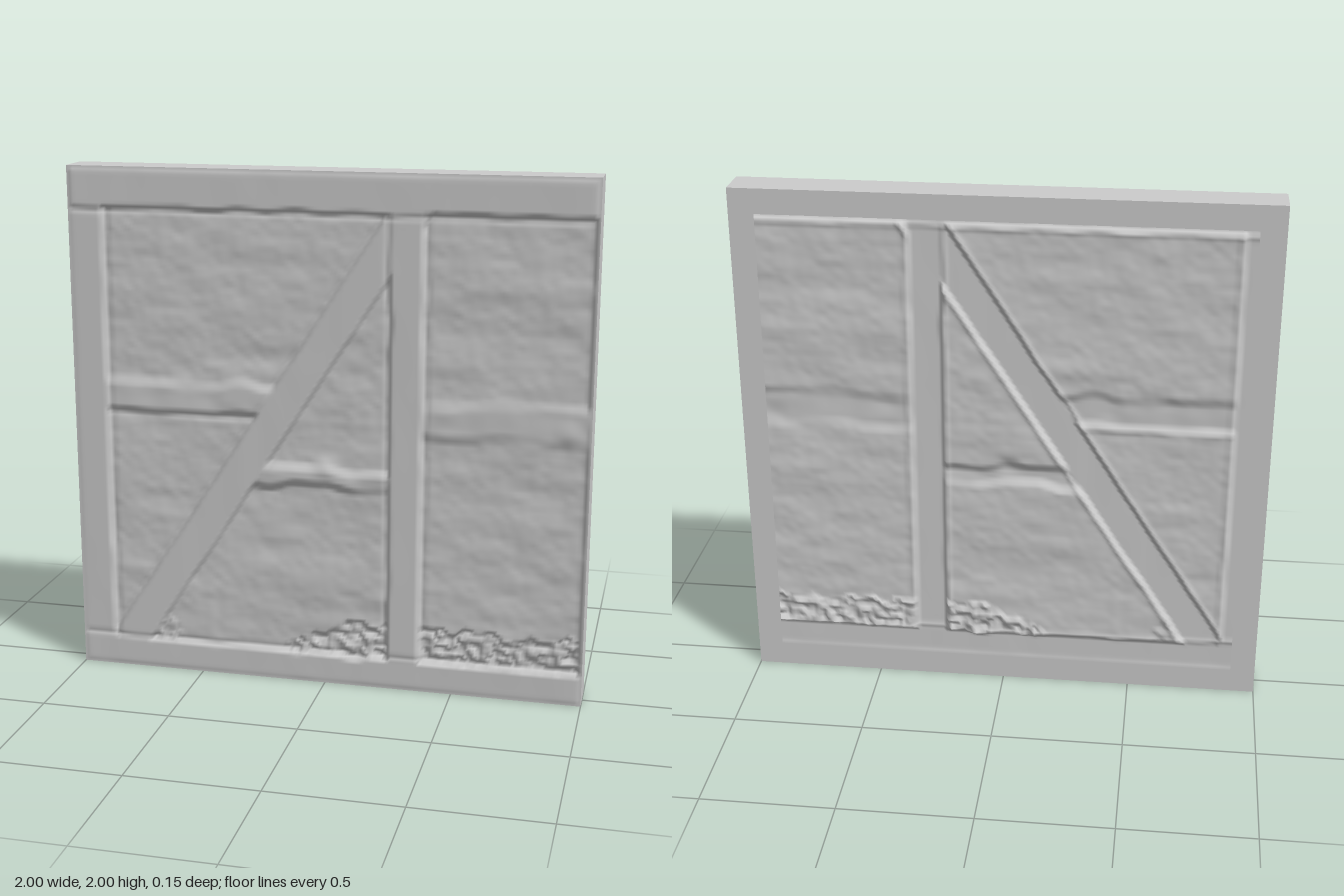
import * as THREE from 'three';

const BACK = -0.085, EDGE = 0.062, STEP = 0.0125;
const material = new THREE.MeshStandardMaterial({ color: 0xcccccc, side: THREE.DoubleSide });

// Smooth seeded noise, roughly -1..1
const hash = (i, j) => {
  const s = Math.sin(i * 127.1 + j * 311.7) * 43758.5453;
  return (s - Math.floor(s)) * 2 - 1;
};
function noise(x, y) {
  const i = Math.floor(x), j = Math.floor(y);
  const u = THREE.MathUtils.smoothstep(x - i, 0, 1), v = THREE.MathUtils.smoothstep(y - j, 0, 1);
  const a = THREE.MathUtils.lerp(hash(i, j), hash(i + 1, j), u);
  const b = THREE.MathUtils.lerp(hash(i, j + 1), hash(i + 1, j + 1), u);
  return THREE.MathUtils.lerp(a, b, v);
}

// 1 inside a distance, 0 outside, with a soft edge
const inside = (d, soft = 0.014) => THREE.MathUtils.smoothstep(d, -soft, soft);
const band = (v, a, b, soft) => inside(v - a, soft) * inside(b - v, soft);
const across = (x, y) => -0.842 * x + 0.54 * y - 0.735; // distance from the brace's centre line

// Height of the weathered wall face
function height(x, y) {
  const wobble = 0.007 * noise(x * 9, y * 9);
  // plaster: broad waves, sideways trowel strokes and fine grain
  let z = 0.049 + 0.004 * noise(x * 4, y * 7 + 3) + 0.0028 * noise(x * 9 + 5, y * 17)
    + 0.001 * noise(x * 30, y * 36);
  const raise = (mask, level) => { z += (level - z) * mask; };
  const a = across(x, y);

  // worn horizontal rails between the timbers
  const rough = 0.004 * noise(x * 13, y * 16);
  raise(band(y + wobble * 2, 1.06, 1.18, 0.025) * inside(-0.18 - x, 0.03), 0.062 + rough);
  raise(band(y + wobble * 2, 0.8, 0.865, 0.022) * inside(-a) * inside(0.25 - x), 0.064 + rough);
  raise(band(y + wobble * 2, 1.02, 1.15, 0.03) * inside(x - 0.37), 0.06 + rough);
  z -= 0.008 * Math.exp(-(((y - 1.055 + wobble) / 0.015) ** 2)) * inside(-0.2 - x, 0.05);
  z += 0.008 * Math.exp(-((x / 0.04) ** 2) - (((y - 0.885) / 0.03) ** 2));

  // broken plaster with rubble at the foot of the middle and left bays
  const crumb = 0.010 * Math.abs(noise(x * 24, y * 26)) + 0.006 * noise(x * 45, y * 45);
  const rim = 0.15 + 0.1 * THREE.MathUtils.smoothstep(x, -0.15, 0.1) + 0.02 * noise(x * 20, 2);
  const hole = inside(x + 0.15, 0.03) * inside(rim - y, 0.01);
  raise(hole, 0.036 + crumb * 1.5);
  raise(inside(0.07 - Math.hypot(x + 0.66, y - 0.14), 0.02), 0.05 + crumb);

  // flat timbers with a dark groove along each edge
  const grain = 0.0008 * noise(x * 12, y * 5);
  const timbers = [
    [0.067 - Math.abs(a) + wobble * 0.4, 0.064],
    [-0.868 - x + wobble * 0.6, 0.064],
    [0.06 - Math.abs(x - 0.31) + wobble * 0.5, 0.066],
    [0.115 - y + wobble, 0.065],
    [y - 1.85 + wobble, 0.067],
  ];
  for (const [d, level] of timbers) {
    z -= 0.004 * Math.exp(-(((d + 0.014) / 0.01) ** 2));
    raise(inside(d, 0.01), level + grain);
  }

  // settle to a straight outer edge
  const border = Math.min(1 - Math.abs(x), y, 2 - y);
  return THREE.MathUtils.lerp(EDGE, z, THREE.MathUtils.smoothstep(border, 0, 0.025));
}

// One rectangular area of the face; neighbouring areas join without a seam
function facePatch(name, x0, x1, y0, y1) {
  const w = x1 - x0, h = y1 - y0;
  const geo = new THREE.PlaneGeometry(w, h, Math.round(w / STEP), Math.round(h / STEP));
  geo.translate((x0 + x1) / 2, (y0 + y1) / 2, 0);
  const p = geo.attributes.position, n = geo.attributes.normal, e = 0.005;
  const v = new THREE.Vector3();
  for (let i = 0; i < p.count; i++) {
    const x = p.getX(i), y = p.getY(i);
    p.setZ(i, height(x, y));
    v.set(height(x - e, y) - height(x + e, y), height(x, y - e) - height(x, y + e), 2 * e).normalize();
    n.setXYZ(i, v.x, v.y, v.z);
  }
  return part(name, geo);
}

function part(name, geometry) {
  const mesh = new THREE.Mesh(geometry, material);
  mesh.name = name;
  return mesh;
}

export function createModel() {
  const model = new THREE.Group();
  model.name = 'timberFramedWallPanel';

  // timbered and plastered front
  const face = new THREE.Group();
  face.name = 'weatheredFace';
  face.add(
    facePatch('bottomBeam', -1, 1, 0, 0.1125),
    facePatch('topBeam', -1, 1, 1.85, 2),
    facePatch('leftEdgePost', -1, -0.875, 0.1125, 1.85),
    facePatch('bracedPlasterBay', -0.875, 0.25, 0.1125, 1.85),
    facePatch('middlePost', 0.25, 0.375, 0.1125, 1.85),
    facePatch('plainPlasterBay', 0.375, 1, 0.1125, 1.85),
  );
  model.add(face);

  // four outer sides
  const depth = EDGE - BACK;
  ['rightSide', 'topSide', 'leftSide', 'bottomSide'].forEach((name, i) => {
    const geo = new THREE.PlaneGeometry(depth, 2).rotateY(Math.PI / 2);
    geo.translate(1, 0, (EDGE + BACK) / 2).rotateZ((i * Math.PI) / 2).translate(0, 1, 0);
    model.add(part(name, geo));
  });

  // flat border around the open back
  const rect = (C, r) => new C([[-r, -r], [r, -r], [r, r], [-r, r]].map(([x, y]) => new THREE.Vector2(x, y)));
  const border = rect(THREE.Shape, 1);
  border.holes.push(rect(THREE.Path, 0.905));
  const back = part('backBorder', new THREE.ShapeGeometry(border).rotateY(Math.PI));
  back.position.set(0, 1, BACK);
  model.add(back);

  return model;
}
